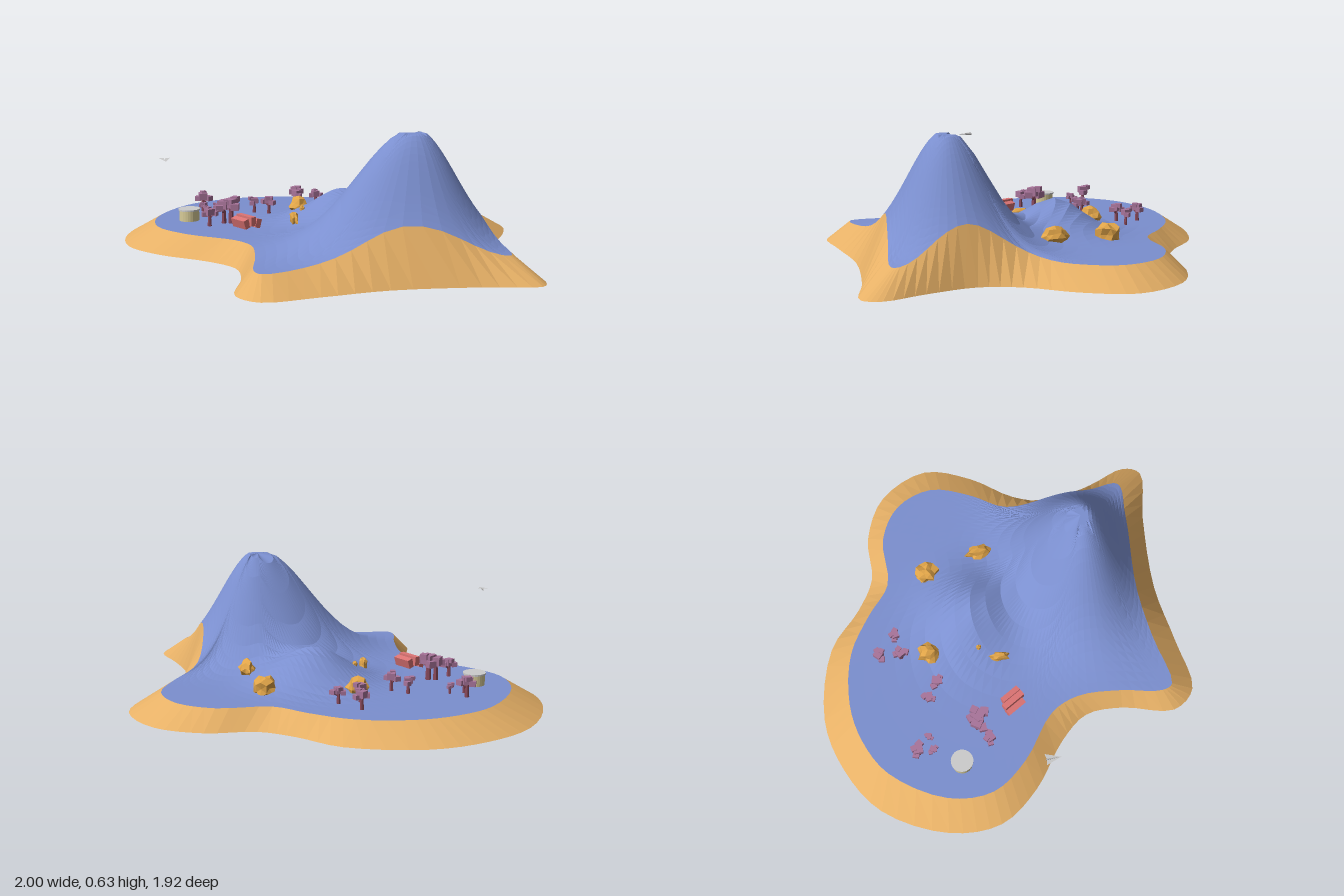
import * as THREE from 'three';

const mat = (color) => new THREE.MeshStandardMaterial({ color, flatShading: true, side: THREE.DoubleSide });
const BLUE = mat(0x7b8fcf), SAND = mat(0xe6b066), GOLD = mat(0xe0a448), LEAF = mat(0xa8749a);
const BARK = mat(0x8a4a5c), RED = mat(0xdc7474), CREAM = mat(0xd8cc98), GREY = mat(0xcccccc);

// Shore points: foot x, z and the matching rim x, z, clockwise from the back
const SHORE = [
  [-.28, -.965, -.25, -.82], [.085, -.87, .01, -.77], [.27, -.70, .2, -.645], [.43, -.60, .35, -.52],
  [.67, -.58, .61, -.5], [.89, -.46, .78, -.39], [1, -.21, .845, -.2], [.91, .03, .765, .01],
  [.755, .24, .645, .18], [.695, .43, .6, .4], [.74, .67, .62, .59], [.8, .87, .675, .77],
  [.755, .955, .655, .805], [.49, .905, .43, .775], [.085, .865, .085, .73], [-.235, .9, -.21, .765],
  [-.5, .92, -.475, .805], [-.59, .8, -.5, .75], [-.525, .54, -.46, .54], [-.525, .35, -.445, .32],
  [-.635, .2, -.5, .175], [-.85, .02, -.715, -.01], [-.985, -.185, -.835, -.195],
  [-.975, -.45, -.82, -.425], [-.8, -.76, -.64, -.69], [-.555, -.91, -.45, -.79],
];
const SEGS = 104, RINGS = 15, PEAK = [.3, .47];

// Ground height: a tall mountain plus a small hill on a flat plain
function height(x, z) {
  const dx = x - PEAK[0], dz = z - PEAK[1];
  const a = dx / (dx > 0 ? .28 : .38), b = dz / (dz > 0 ? .25 : .27);
  const mountain = .56 * Math.exp(-a * a - b * b);
  const hill = .17 * Math.exp(-(((x - .1) / .22) ** 2) - ((z + .13) / .19) ** 2);
  return Math.min(.63, .09 + mountain + hill);
}

// Joins a list of closed rings of points into a surface facing up and out
function loft(rings) {
  const pos = rings.flat().flatMap((p) => [p.x, p.y, p.z]), index = [];
  for (let k = 0; k < rings.length - 1; k++) {
    for (let i = 0; i < SEGS; i++) {
      const j = (i + 1) % SEGS, a = k * SEGS, b = a + SEGS;
      if (k > 0 || rings[0][0].distanceTo(rings[0][1]) > 0) index.push(a + i, a + j, b + i);
      index.push(b + i, a + j, b + j);
    }
  }
  const g = new THREE.BufferGeometry();
  g.setAttribute('position', new THREE.Float32BufferAttribute(pos, 3));
  g.setIndex(index);
  g.computeVertexNormals();
  return g;
}

function add(parent, name, geometry, material, x = 0, y = 0, z = 0) {
  const m = new THREE.Mesh(geometry, material);
  m.name = name;
  m.position.set(x, y, z);
  parent.add(m);
  return m;
}

// Faceted boulder: a ball whose corners are pushed in and out by a fixed rule
function rock(parent, x, z, w, h, d, turn, seed) {
  const g = new THREE.IcosahedronGeometry(1, 1), p = g.attributes.position;
  const v = new THREE.Vector3();
  for (let i = 0; i < p.count; i++) {
    v.fromBufferAttribute(p, i);
    const s = .84 + .2 * Math.sin(v.x * 5 + seed) * Math.cos(v.z * 6 - seed) + .1 * Math.sin(v.y * 7 + seed * 2);
    p.setXYZ(i, v.x * s * w, v.y * s * h, v.z * s * d);
  }
  g.computeVertexNormals();
  add(parent, 'boulder', g, GOLD, x, height(x, z) + h * .25, z).rotation.y = turn;
}

// Tree: thin trunk, a side branch and block-shaped leaf clumps
function tree(parent, x, z, size, turn) {
  const t = new THREE.Group();
  t.name = 'tree';
  add(t, 'trunk', new THREE.CylinderGeometry(.07, .11, .7, 6), BARK, 0, .33, 0);
  const branch = add(t, 'branch', new THREE.CylinderGeometry(.04, .05, .4, 5), BARK, .12, .55, 0);
  branch.rotation.z = -.8;
  [[0, .78, 0, .4], [.26, .68, .08, .29], [-.2, .66, -.14, .28], [.04, .9, -.2, .25]].forEach(([a, b, c, s], i) => {
    add(t, 'leafClump', new THREE.BoxGeometry(s, s * .8, s), LEAF, a, b, c).rotation.y = i * .6;
  });
  t.position.set(x, height(x, z) - .005, z);
  t.scale.setScalar(size);
  t.rotation.y = turn;
  parent.add(t);
}

export function createModel() {
  const island = new THREE.Group();
  island.name = 'island';

  // Terrain: rings spread from the peak to the rim, then a slope down to the foot
  const loop = (o) => new THREE.CatmullRomCurve3(SHORE.map((p) => new THREE.Vector3(p[o], 0, p[o + 1])), true);
  const foot = loop(0).getPoints(SEGS).slice(0, SEGS), rim = loop(2).getPoints(SEGS).slice(0, SEGS);
  rim.forEach((p) => { p.y = height(p.x, p.z); });
  const rings = [];
  for (let k = 0; k <= RINGS; k++) {
    const f = k / RINGS;
    rings.push(rim.map((p) => {
      const x = PEAK[0] + (p.x - PEAK[0]) * f, z = PEAK[1] + (p.z - PEAK[1]) * f;
      return new THREE.Vector3(x, height(x, z), z);
    }));
  }
  add(island, 'ground', loft(rings), BLUE);
  add(island, 'shoreSlope', loft([rim, foot]), SAND);

  // Trees
  [[-.57, -.52, .11], [-.505, -.455, .06], [-.575, -.45, .07], [-.045, -.63, .1], [-.06, -.52, .1],
    [.045, -.53, .09], [-.31, -.42, .09], [-.24, -.37, .1], [-.5, -.21, .13], [-.465, -.2, .14],
    [-.58, -.16, .1]].forEach(([x, z, s], i) => tree(island, x, z, s, i * 1.3));

  // Boulders
  rock(island, -.075, -.38, .062, .06, .06, .4, 1);
  rock(island, .36, -.31, .065, .07, .07, -.5, 2.5);
  rock(island, .415, -.02, .042, .055, .075, .1, 4);
  rock(island, -.17, -.03, .025, .045, .06, -.1, 5);
  rock(island, -.11, -.125, .014, .02, .016, 0, 6);

  // Red stack of ridged blocks
  const stack = new THREE.Group();
  stack.name = 'redStack';
  for (let i = -1; i <= 1; i++) {
    const b = add(stack, 'redBlock', new THREE.BoxGeometry(.03, .045, .12 - .015 * Math.abs(i)), RED, i * .028, i ? 0 : .012, i * .01);
    b.rotation.z = i * -.3;
  }
  stack.position.set(-.415, .135, -.01);
  stack.rotation.y = .5;
  island.add(stack);

  // Round hut
  add(island, 'hutWall', new THREE.CylinderGeometry(.051, .051, .055, 24), CREAM, -.665, .115, -.32);
  add(island, 'hutRoof', new THREE.CylinderGeometry(.056, .056, .008, 24), GREY, -.665, .147, -.32);

  // Small folded glider hovering beside the shore
  const glider = new THREE.BufferGeometry();
  glider.setAttribute('position', new THREE.Float32BufferAttribute([
    0, 0, .04, .027, .006, -.035, .004, .006, -.03,
    0, 0, .04, -.004, .006, -.03, -.027, .006, -.035,
    0, 0, .04, .004, .006, -.03, 0, -.009, -.035,
    0, 0, .04, 0, -.009, -.035, -.004, .006, -.03], 3));
  glider.computeVertexNormals();
  add(island, 'glider', glider, GREY, -.815, .478, .09);

  return island;
}
